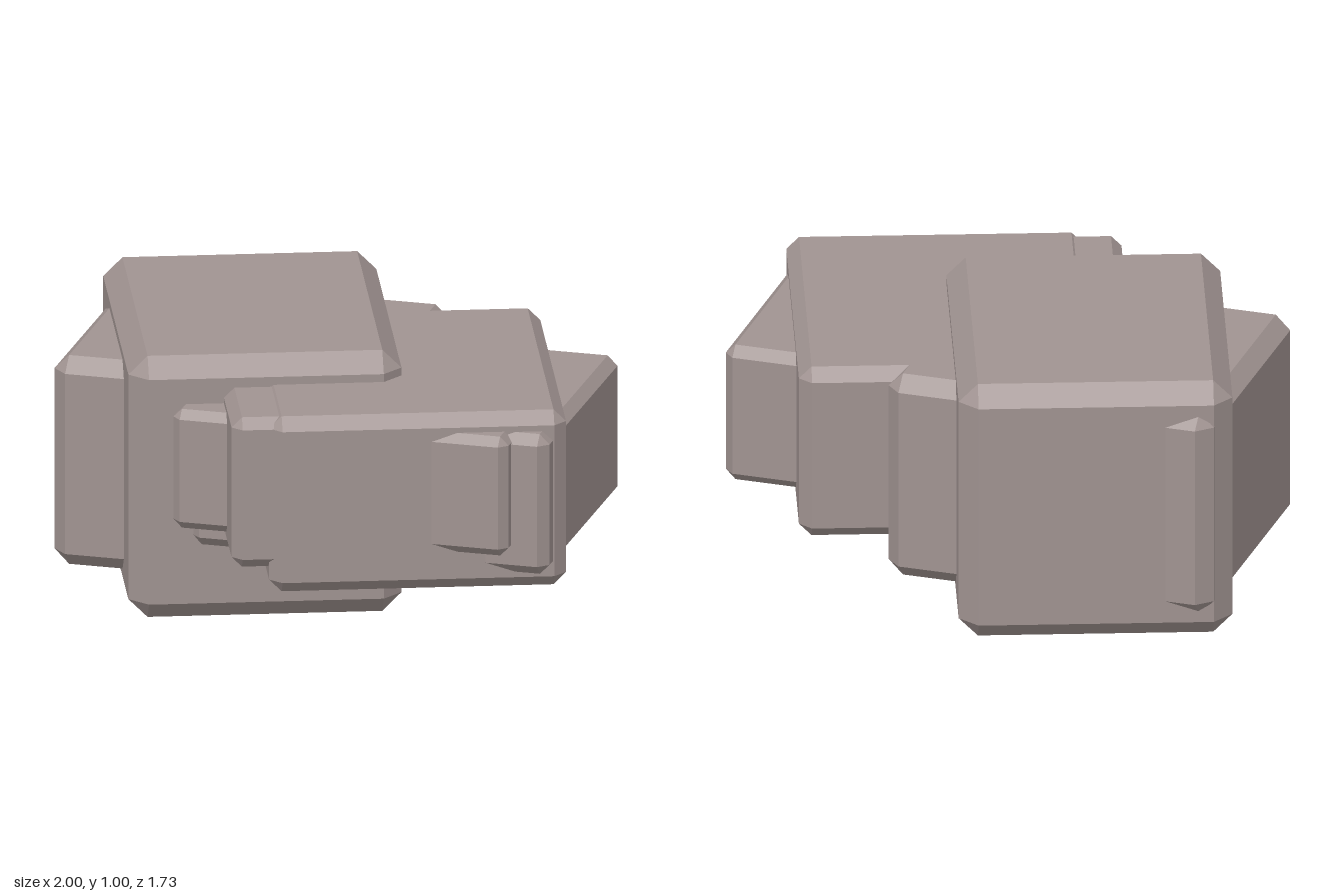
import * as THREE from 'three';
import { ConvexGeometry } from 'three/addons/geometries/ConvexGeometry.js';

// Box with every edge and corner cut flat by c
function chamferedBox(w, h, d, c) {
  const [x, y, z] = [w / 2, h / 2, d / 2];
  const points = [];
  for (const sx of [-1, 1]) for (const sy of [-1, 1]) for (const sz of [-1, 1]) {
    points.push(
      new THREE.Vector3(sx * x, sy * (y - c), sz * (z - c)),
      new THREE.Vector3(sx * (x - c), sy * y, sz * (z - c)),
      new THREE.Vector3(sx * (x - c), sy * (y - c), sz * z),
    );
  }
  return new ConvexGeometry(points);
}

export function createModel() {
  const model = new THREE.Group();
  model.name = 'rockCluster';
  const stone = new THREE.MeshStandardMaterial({ color: 0xa09391, flatShading: true });
  stone.name = 'warm grey stone';

  // Each rock is a turned block crossed by a wider, lower, straight block
  const rocks = [
    { name: 'largeRock', at: [-0.34, 0.5, -0.13], main: [0.995, 1.0, 1.268, 0.07], cross: [1.24, 0.8, 1.02, 0.055] },
    { name: 'mediumRock', at: [0.292, 0.565, 0.083], main: [1.082, 0.67, 1.247, 0.046], cross: [1.347, 0.535, 1.005, 0.037] },
    { name: 'smallRock', at: [0.2, 0.607, 0.33], main: [1.01, 0.572, 0.787, 0.038], cross: [1.262, 0.455, 0.645, 0.032] },
  ];

  for (const { name, at, main, cross } of rocks) {
    const rock = new THREE.Group();
    rock.name = name;
    rock.position.set(...at);

    const mainBlock = new THREE.Mesh(chamferedBox(...main), stone);
    mainBlock.name = name + 'MainBlock';
    mainBlock.rotation.y = THREE.MathUtils.degToRad(20);

    const crossBlock = new THREE.Mesh(chamferedBox(...cross), stone);
    crossBlock.name = name + 'CrossBlock';

    rock.add(mainBlock, crossBlock);
    model.add(rock);
  }
  return model;
}
